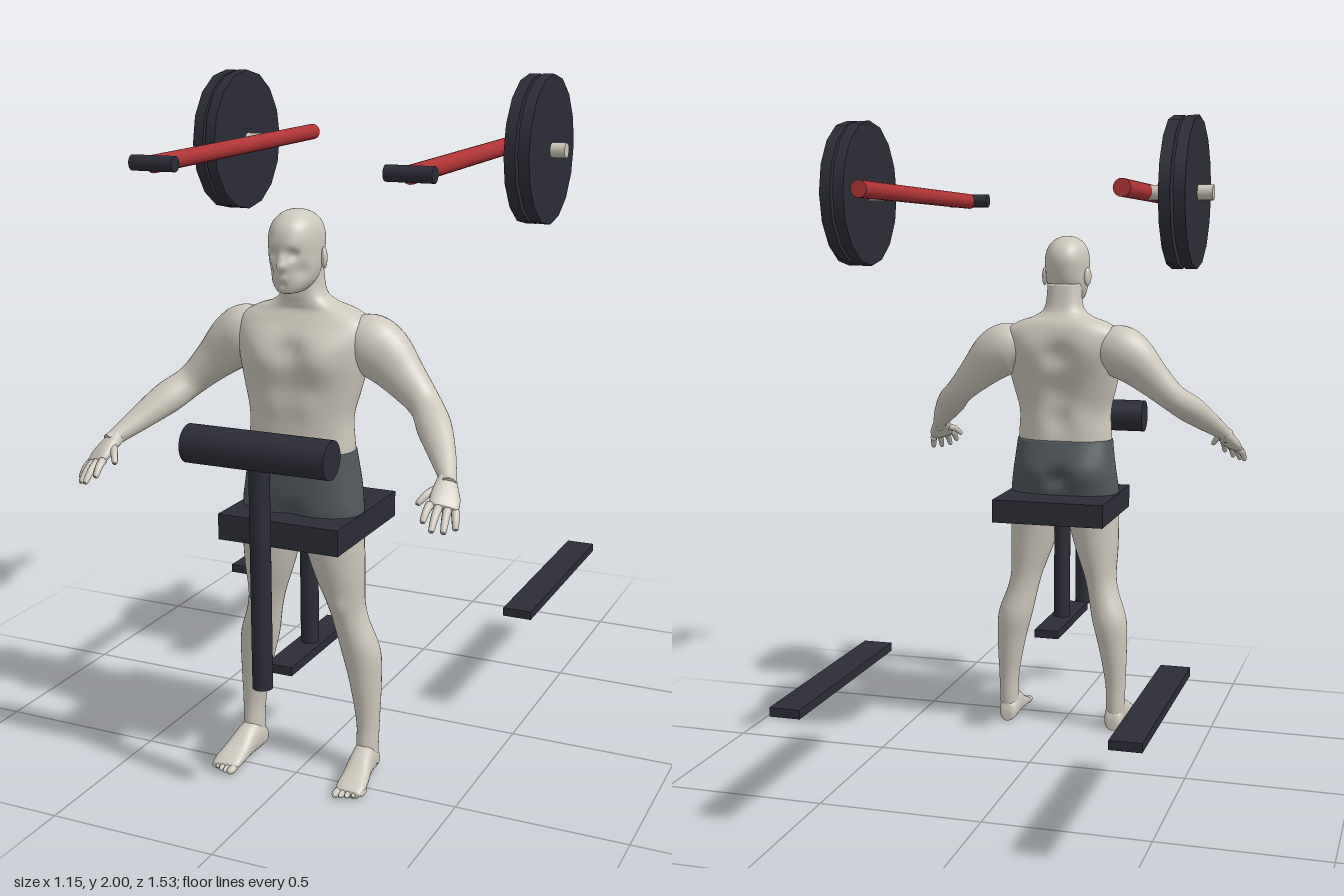
import * as THREE from 'three';

const mat = (name, color) => Object.assign(new THREE.MeshStandardMaterial({ color }), { name });
const V3 = (a) => new THREE.Vector3(...a);

// Smooth interpolation through rows of numbers
function resample(rows, n) {
  const out = [], last = rows.length - 1;
  for (let k = 0; k <= n; k++) {
    const f = (k / n) * last, i = Math.min(Math.floor(f), last - 1), t = f - i;
    const [a, b, c, d] = [i - 1, i, i + 1, i + 2].map((j) => rows[Math.max(0, Math.min(last, j))]);
    out.push(b.map((_, m) => b[m] + 0.5 * t * (c[m] - a[m]
      + t * (2 * a[m] - 5 * b[m] + 4 * c[m] - d[m] + t * (3 * (b[m] - c[m]) + d[m] - a[m])))));
  }
  return out;
}

// Skin over rounded sections. A row is [x, y, z, radiusU, radiusV];
// a bump is [centre, radius, push] and moves nearby points.
function loft(rows, { side = [0, 0, 1], axis, power = 2, steps = 30, seg = 28, bumps = [] } = {}) {
  const rs = resample(rows, steps), pos = [], idx = [];
  const put = (p) => {
    const q = p.clone();
    for (const [c, r, d] of bumps) q.addScaledVector(V3(d), Math.exp(-p.distanceToSquared(V3(c)) / (r * r)));
    pos.push(q.x, q.y, q.z);
  };
  const sup = (c) => Math.sign(c) * Math.abs(c) ** (2 / power);
  const centre = (r) => V3(r.slice(0, 3));
  rs.forEach((r, i) => {
    const T = axis ? V3(axis)
      : centre(rs[Math.min(i + 1, steps)]).sub(centre(rs[Math.max(i - 1, 0)])).normalize();
    const V = V3(side).addScaledVector(T, -V3(side).dot(T)).normalize();
    const U = T.clone().cross(V);
    for (let j = 0; j < seg; j++) {
      const a = (j / seg) * Math.PI * 2;
      put(centre(r).addScaledVector(U, r[3] * sup(Math.cos(a))).addScaledVector(V, r[4] * sup(Math.sin(a))));
      const k = (j + 1) % seg, o = i * seg, u = o + seg;
      if (i < steps) idx.push(o + j, u + j, o + k, u + j, u + k, o + k);
    }
  });
  const bottom = pos.length / 3;
  put(centre(rs[0]));
  put(centre(rs[steps]));
  for (let j = 0; j < seg; j++) {
    const k = (j + 1) % seg, o = steps * seg;
    idx.push(bottom, j, k, bottom + 1, o + k, o + j);
  }
  const g = new THREE.BufferGeometry();
  g.setAttribute('position', new THREE.Float32BufferAttribute(pos, 3));
  g.setIndex(idx);
  g.computeVertexNormals();
  return g;
}

function mirror(geo) {
  const g = geo.clone().scale(-1, 1, 1), a = g.index.array;
  for (let i = 0; i < a.length; i += 3) [a[i], a[i + 1]] = [a[i + 1], a[i]];
  g.computeVertexNormals();
  return g;
}

// Level section from [y, halfWidth, back, front, centreX]
const level = ([y, w, zb, zf, x = 0]) => [x, y, (zb + zf) / 2, w, (zf - zb) / 2];
const both = (list) => list.flatMap(([c, r, d]) =>
  [[c, r, d], [[-c[0], c[1], c[2]], r, [-d[0], d[1], d[2]]]]);

export function createModel() {
  const model = new THREE.Group();
  const skin = mat('skin', 0xcdc8bc), cloth = mat('shorts grey', 0x51585c);
  const dark = mat('dark frame', 0x2c2c37), red = mat('red lever', 0xb03434), steel = mat('pale steel', 0xcdc8ba);

  const add = (name, geo, m, parent = model) => {
    const mesh = new THREE.Mesh(geo, m);
    mesh.name = name;
    parent.add(mesh);
    return mesh;
  };
  const box = (name, w, h, d, x, y, z) => add(name, new THREE.BoxGeometry(w, h, d).translate(x, y, z), dark);
  const rod = (name, a, b, r, m, sides = 20) => {
    const A = V3(a), B = V3(b), dir = B.clone().sub(A);
    const g = new THREE.CylinderGeometry(r, r, dir.length(), sides);
    g.applyQuaternion(new THREE.Quaternion().setFromUnitVectors(new THREE.Vector3(0, 1, 0), dir.normalize()));
    const c = A.add(B).multiplyScalar(0.5);
    return add(name, g.translate(c.x, c.y, c.z), m);
  };

  // Seat, chest pad and base
  box('seat', 0.37, 0.075, 0.4, 0, 0.768, 0.4);
  box('seatBase', 0.08, 0.026, 0.4, 0, 0.368, 0.4);
  rod('seatPost', [0, 0.37, 0.4], [0, 0.75, 0.4], 0.027, dark);
  rod('padPost', [0, 0.355, 0.697], [0, 1.03, 0.697], 0.029, dark);
  rod('chestPad', [-0.215, 1.033, 0.697], [0.215, 1.033, 0.697], 0.054, dark, 28);

  // Levers, grips, weight plates and floor rails
  for (const s of [-1, 1]) {
    rod('lever', [s * 0.378, 1.795, -0.42], [s * 0.378, 1.768, 0.57], 0.025, red);
    rod('grip', [s * 0.31, 1.77, 0.567], [s * 0.445, 1.77, 0.567], 0.022, dark);
    rod('platePeg', [s * 0.39, 1.785, -0.125], [s * 0.577, 1.785, -0.125], 0.022, steel);
    for (const x of [0.476, 0.517])
      rod('weightPlate', [s * (x - 0.0165), 1.785, -0.125], [s * (x + 0.0165), 1.785, -0.125], 0.215, dark, 16);
    box('floorRail', 0.09, 0.026, 0.695, s * 0.479, 0.368, -0.422);
  }

  // Figure
  const figure = new THREE.Group();
  figure.name = 'figure';
  model.add(figure);
  const pair = (name, geo, m = skin) => {
    add('left' + name, geo, m, figure);
    add('right' + name, mirror(geo), m, figure);
  };
  const up = [0, 1, 0];

  // Torso and neck
  add('torso', loft([
    [0.955, 0.158, 0.345, 0.524], [1.0, 0.157, 0.35, 0.522], [1.08, 0.155, 0.355, 0.518],
    [1.16, 0.174, 0.34, 0.515], [1.24, 0.192, 0.322, 0.515], [1.3, 0.2, 0.315, 0.508],
    [1.345, 0.195, 0.32, 0.485], [1.375, 0.15, 0.33, 0.468], [1.395, 0.095, 0.345, 0.468],
    [1.425, 0.063, 0.36, 0.47], [1.5, 0.055, 0.372, 0.465],
  ].map(level), {
    axis: up, power: 2.4, steps: 60, seg: 64,
    bumps: [
      ...both([
        [[0.085, 1.25, 0.51], 0.065, [0, 0, 0.024]], [[0.1, 1.29, 0.32], 0.07, [0, 0, -0.01]],
        [[0.05, 1.05, 0.35], 0.05, [0, 0, -0.008]], [[0.05, 1.12, 0.52], 0.04, [0, 0, 0.006]],
      ]),
      [[0, 1.27, 0.51], 0.035, [0, 0, -0.014]], [[0, 1.27, 0.32], 0.045, [0, 0, 0.02]],
      [[0, 1.15, 0.34], 0.05, [0, 0, 0.014]], [[0, 1.05, 0.35], 0.04, [0, 0, 0.014]],
    ],
  }), skin, figure);

  // Shorts
  add('shorts', loft([
    [0.765, 0.183, 0.345, 0.525], [0.82, 0.182, 0.338, 0.53], [0.88, 0.174, 0.328, 0.531],
    [0.93, 0.167, 0.332, 0.53], [0.985, 0.161, 0.345, 0.527],
  ].map(level), {
    axis: up, power: 2.4, steps: 24, seg: 64,
    bumps: [
      ...both([[[0.08, 0.87, 0.33], 0.06, [0, 0, -0.012]]]),
      [[0, 0.86, 0.33], 0.03, [0, 0, 0.025]], [[0, 0.79, 0.53], 0.04, [0, 0, -0.02]],
    ],
  }), cloth, figure);

  // Head and face
  add('head', loft([
    [1.432, 0.022, 0.46, 0.532], [1.438, 0.036, 0.435, 0.542], [1.462, 0.055, 0.4, 0.547],
    [1.5, 0.067, 0.376, 0.549], [1.54, 0.07, 0.363, 0.551], [1.58, 0.071, 0.358, 0.552],
    [1.615, 0.063, 0.37, 0.54], [1.64, 0.043, 0.398, 0.513], [1.651, 0.022, 0.43, 0.483],
    [1.654, 0.004, 0.452, 0.462],
  ].map(level), {
    axis: up, power: 2.15, steps: 64, seg: 64,
    bumps: [
      [[0, 1.508, 0.55], 0.014, [0, 0, 0.02]], [[0, 1.53, 0.55], 0.013, [0, 0, 0.009]],
      [[0, 1.475, 0.548], 0.014, [0, 0, 0.006]], [[0, 1.458, 0.547], 0.009, [0, 0, -0.005]],
      ...both([
        [[0.029, 1.54, 0.54], 0.015, [0, 0, -0.013]], [[0.028, 1.562, 0.54], 0.015, [0, 0, 0.004]],
        [[0.045, 1.495, 0.52], 0.02, [-0.006, 0, -0.005]],
      ]),
    ],
  }), skin, figure);
  pair('Ear', new THREE.SphereGeometry(1, 14, 10).scale(0.009, 0.03, 0.017)
    .rotateY(0.4).translate(0.073, 1.522, 0.438));

  // Legs and feet
  pair('Leg', loft([
    [0.03, 0.03, 0.37, 0.44, 0.187], [0.09, 0.032, 0.367, 0.442, 0.187], [0.16, 0.034, 0.365, 0.436, 0.187],
    [0.28, 0.047, 0.351, 0.445, 0.178], [0.38, 0.058, 0.345, 0.456, 0.164], [0.47, 0.052, 0.357, 0.468, 0.14],
    [0.53, 0.055, 0.36, 0.48, 0.127], [0.62, 0.073, 0.355, 0.505, 0.112], [0.72, 0.087, 0.35, 0.522, 0.098],
    [0.8, 0.089, 0.345, 0.526, 0.093],
  ].map(level), {
    axis: up, steps: 48,
    bumps: [[[0.127, 0.53, 0.48], 0.03, [0, 0, 0.008]], [[0.15, 0.37, 0.35], 0.05, [0, 0, -0.004]]],
  }));
  const foot = [[0.363, 0.185, 0.016, 0.035], [0.375, 0.185, 0.029, 0.065], [0.42, 0.186, 0.034, 0.095],
    [0.46, 0.19, 0.036, 0.085], [0.51, 0.196, 0.041, 0.054], [0.55, 0.199, 0.043, 0.036], [0.578, 0.2, 0.038, 0.022]];
  pair('Foot', loft(foot.map(([z, x, w, h]) => [x, h / 2 + 0.004, z, h / 2, w]),
    { axis: [0, 0, 1], side: [1, 0, 0], power: 2.4 }));
  for (let i = 0; i < 5; i++)
    pair('Toe', new THREE.SphereGeometry(1, 10, 8).scale(i ? 0.0085 : 0.013, i ? 0.01 : 0.012, 0.024)
      .translate(0.17 + i * 0.0165, 0.014, 0.58 - i * i * 0.002));

  // Arms, from inside the shoulder to the wrist
  pair('Arm', loft([
    [0.13, 1.29, 0.395, 0.06, 0.06], [0.185, 1.285, 0.395, 0.085, 0.075], [0.235, 1.257, 0.395, 0.082, 0.07],
    [0.3, 1.197, 0.402, 0.061, 0.053], [0.365, 1.135, 0.42, 0.046, 0.044], [0.415, 1.09, 0.477, 0.048, 0.042],
    [0.465, 1.04, 0.545, 0.037, 0.032], [0.505, 0.998, 0.608, 0.024, 0.024], [0.515, 0.985, 0.63, 0.022, 0.026],
  ], { side: [0.3, 0, 1], steps: 44 }));

  // Hands
  const across = [0.9, -0.25, -0.35];
  pair('Palm', loft([
    [0.503, 1.0, 0.602, 0.021, 0.022], [0.511, 0.98, 0.635, 0.02, 0.032],
    [0.52, 0.958, 0.665, 0.018, 0.04], [0.526, 0.94, 0.69, 0.012, 0.038],
  ], { side: across, power: 2.4, steps: 14 }));
  const fingers = [
    [[0.493, 0.951, 0.7], [0.49, 0.915, 0.745]], [[0.514, 0.944, 0.697], [0.518, 0.897, 0.756]],
    [[0.535, 0.937, 0.687], [0.544, 0.891, 0.738]], [[0.553, 0.931, 0.675], [0.565, 0.893, 0.706]],
    [[0.49, 0.976, 0.648], [0.456, 0.946, 0.697]],
  ];
  for (const [a, b] of fingers) {
    const mid = a.map((v, i) => (v + b[i]) / 2 + (i === 1 ? 0.006 : 0));
    const end = a.map((v, i) => v + (b[i] - v) * 0.95);
    pair('Finger', loft([[...a, 0.012, 0.012], [...mid, 0.0105, 0.0105], [...end, 0.008, 0.008], [...b, 0.003, 0.003]],
      { side: across, steps: 9, seg: 10 }));
  }
  return model;
}
